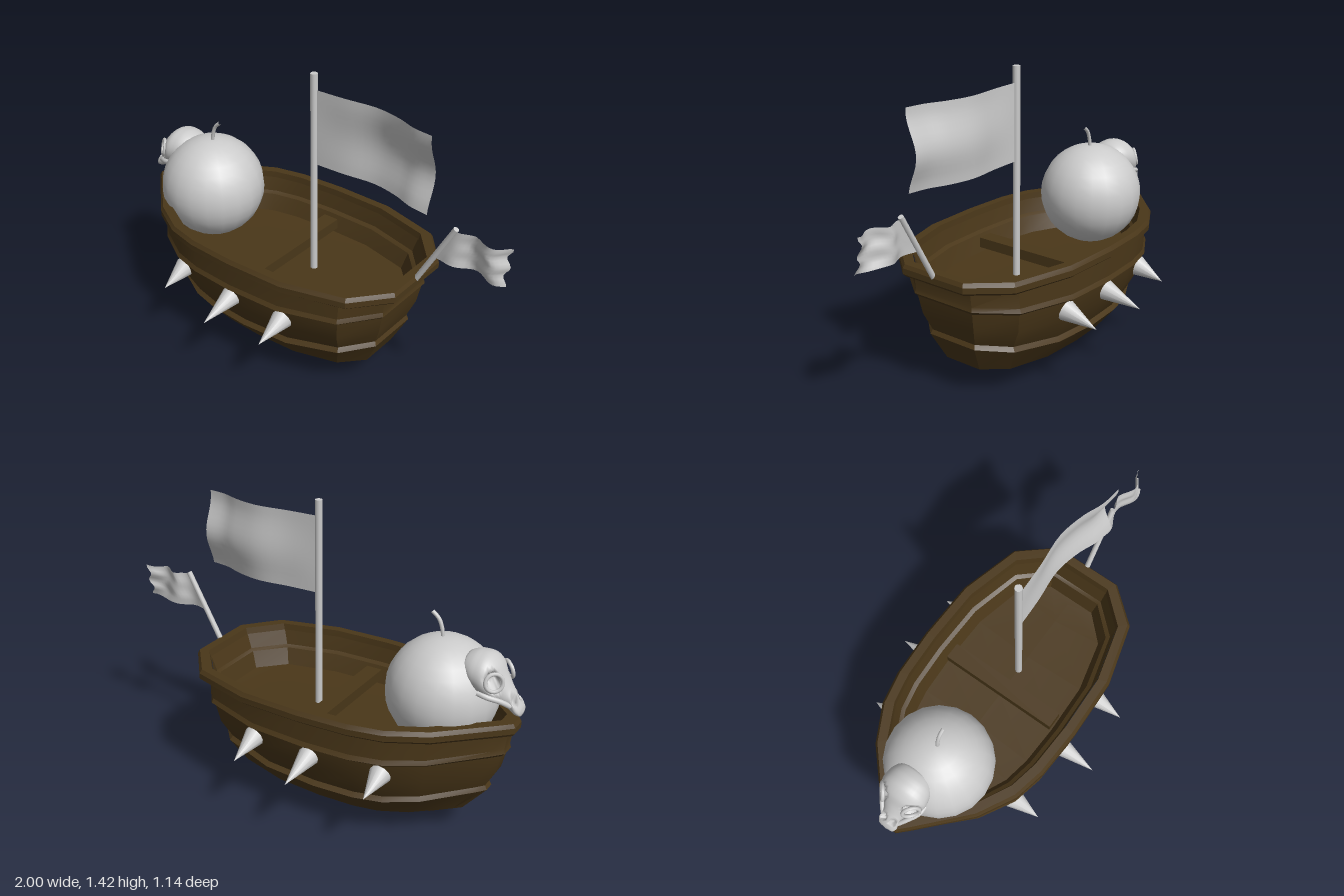
import * as THREE from 'three';
import { toCreasedNormals, mergeVertices } from 'three/addons/utils/BufferGeometryUtils.js';

const V = (x, y, z) => new THREE.Vector3(x, y, z);
const wood = new THREE.MeshStandardMaterial({ color: 0x4a3719 });
const grey = new THREE.MeshStandardMaterial({ color: 0xcccccc });
const cloth = new THREE.MeshStandardMaterial({ color: 0xcccccc, side: THREE.DoubleSide });

function add(parent, name, geometry, material) {
  const m = new THREE.Mesh(geometry, material);
  m.name = name;
  parent.add(m);
  return m;
}

// Skin a list of closed rings that all have the same point count
function loft(rings) {
  const n = rings[0].length, index = [];
  for (let i = 0; i < rings.length - 1; i++) {
    for (let j = 0; j < n; j++) {
      const k = (j + 1) % n, a = i * n + j, b = i * n + k;
      index.push(a, b, b + n, a, b + n, a + n);
    }
  }
  const g = new THREE.BufferGeometry().setFromPoints(rings.flat());
  g.setIndex(index);
  g.computeVertexNormals();
  return g;
}

// Cylinder or cone between two points
function rod(a, b, r0, r1, sides) {
  const d = b.clone().sub(a);
  const g = new THREE.CylinderGeometry(r1, r0, d.length(), sides);
  g.applyQuaternion(new THREE.Quaternion().setFromUnitVectors(V(0, 1, 0), d.clone().normalize()));
  const c = a.clone().add(b).multiplyScalar(0.5);
  return g.translate(c.x, c.y, c.z);
}

// Plan outline from bow to stern: length fraction, half-width fraction
const PLAN = [[0, 0.08], [0.03, 0.19], [0.17, 0.67], [0.28, 0.89], [0.38, 0.97],
  [0.53, 1], [0.72, 0.98], [0.91, 0.79], [1, 0.4]];

// Hull levels: y, rise at the ends, bow x, stern x, half width
const OUTER = [
  [0, 0.035, -0.6, 0.2, 0], [0.1, 0.03, -0.77, 0.39, 0.24],
  [0.205, 0.06, -0.88, 0.46, 0.325], [0.225, 0.06, -0.87, 0.45, 0.308],
  [0.34, 0.03, -0.915, 0.485, 0.37], [0.44, 0.02, -0.935, 0.503, 0.392],
  [0.455, 0.02, -0.95, 0.515, 0.413], [0.475, 0.02, -0.945, 0.51, 0.402],
  [0.575, 0, -0.955, 0.52, 0.402],
];
const RIM = [
  [0.572, 0, -0.93, 0.5, 0.38], [0.572, 0, -0.975, 0.565, 0.412],
  [0.585, 0, -0.985, 0.577, 0.428], [0.612, 0, -0.985, 0.577, 0.428],
  [0.63, 0, -0.975, 0.568, 0.415], [0.63, 0, -0.92, 0.525, 0.375],
  [0.58, 0, -0.915, 0.515, 0.37],
];
const INNER = [
  [0.6, 0, -0.915, 0.515, 0.37], [0.53, 0, -0.89, 0.49, 0.355],
  [0.52, 0, -0.875, 0.475, 0.335], [0.44, 0, -0.84, 0.45, 0.305],
  [0.435, 0, -0.8, 0.42, 0],
];

function hullPart(levels) {
  const rings = levels.map(([y, s, x0, x1, w]) => {
    const side = (sz) => PLAN.map(([u, f]) =>
      V(x0 + (x1 - x0) * u, y + s * (2 * u - 1) ** 2, sz * w * f));
    return [...side(1), ...side(-1).reverse()];
  });
  return toCreasedNormals(loft(rings), 0.4);
}

// Cloth sheet shaped by a rule (u along, v up)
function sheet(nu, nv, rule) {
  const g = new THREE.PlaneGeometry(1, 1, nu, nv), p = g.attributes.position;
  for (let i = 0; i < p.count; i++) {
    const q = rule(p.getX(i) + 0.5, p.getY(i) + 0.5);
    p.setXYZ(i, q.x, q.y, q.z);
  }
  g.computeVertexNormals();
  return g;
}

// Skull sections from nape to snout: x, y, half height, half width
const SKULL = [
  [-0.73, 0.85, 0.002, 0.002], [-0.745, 0.845, 0.05, 0.075], [-0.79, 0.827, 0.086, 0.105],
  [-0.84, 0.815, 0.096, 0.112], [-0.885, 0.792, 0.086, 0.095], [-0.915, 0.76, 0.066, 0.06],
  [-0.945, 0.728, 0.05, 0.044], [-0.975, 0.7, 0.037, 0.048], [-0.995, 0.682, 0.02, 0.035],
  [-1, 0.678, 0.001, 0.001],
];

function skullGeometry() {
  const centre = new THREE.CatmullRomCurve3(SKULL.map(([x, y]) => V(x, y, 0)));
  const size = new THREE.CatmullRomCurve3(SKULL.map(([, , h, w]) => V(h, w, 0)));
  const hollows = [1, -1].flatMap((s) => [
    { c: V(-0.892, 0.82, s * 0.082), r: 0.042, depth: V(0.03, -0.005, -s * 0.045) },
    { c: V(-0.968, 0.738, s * 0.026), r: 0.02, depth: V(0.01, -0.02, -s * 0.01) },
  ]);
  const rings = [];
  for (let i = 0; i <= 36; i++) {
    const c = centre.getPoint(i / 36), s = size.getPoint(i / 36), ring = [];
    for (let j = 0; j < 36; j++) {
      const a = -j / 36 * Math.PI * 2;
      const p = V(c.x, c.y + Math.cos(a) * s.x, Math.sin(a) * s.y);
      for (const h of hollows) {
        const k = 1 - THREE.MathUtils.smoothstep(p.distanceTo(h.c), h.r * 0.6, h.r);
        p.addScaledVector(h.depth, k);
      }
      ring.push(p);
    }
    rings.push(ring);
  }
  return loft(rings);
}

export function createModel() {
  const model = new THREE.Group();
  model.name = 'boat';

  // Hull
  add(model, 'hull', hullPart(OUTER), wood);
  add(model, 'rim', hullPart(RIM), wood);
  add(model, 'inside', hullPart(INNER), wood);
  add(model, 'bench', new THREE.BoxGeometry(0.08, 0.05, 0.6), wood).position.set(-0.13, 0.495, 0);

  // Spikes along both sides
  for (const [x, base, tip] of [[-0.52, 0.34, 0.485], [-0.185, 0.37, 0.568], [0.11, 0.365, 0.53]]) {
    for (const s of [1, -1]) {
      add(model, 'spike', rod(V(x, 0.398, s * base), V(x, 0.35, s * tip), 0.051, 0, 12), grey);
    }
  }

  // Mast and large flag
  add(model, 'mast', rod(V(0, 0.43, 0), V(0, 1.425, 0), 0.017, 0.017, 10), grey);
  const wave = new THREE.CatmullRomCurve3([V(0, 0, 0), V(0.16, 0, -0.01), V(0.32, 0, -0.027),
    V(0.45, 0, -0.005), V(0.54, 0, 0.025), V(0.635, 0, 0.035)]);
  add(model, 'flag', sheet(20, 12, (u, v) => {
    const p = wave.getPoint(u);
    return V(p.x, 0.99 + 0.36 * v, p.z + u * 0.025 * Math.cos(v * Math.PI * 2 + 0.3));
  }), cloth);

  // Slanted stern pole and small frayed flag
  add(model, 'sternPole', rod(V(0.56, 0.6, 0), V(0.745, 0.935, 0), 0.013, 0.013, 8), grey);
  add(model, 'sternFlag', sheet(18, 12, (u, v) => {
    const left = 0.655 + 0.085 * v, right = 0.988 + 0.012 * Math.cos(v * 13);
    const y = 0.758 + 0.165 * v + 0.006 * Math.sin(u * 14) * u;
    return V(left + (right - left) * u, y, 0.022 * Math.sin(u * 9 + v * 2) * Math.min(1, u * 3));
  }), cloth);

  // Round bomb with curved fuse
  add(model, 'bomb', new THREE.SphereGeometry(0.252, 20, 16), grey).position.set(-0.625, 0.675, 0.013);
  const fuse = new THREE.CatmullRomCurve3([V(-0.613, 0.91, 0.015), V(-0.605, 0.96, 0.015),
    V(-0.588, 1.0, 0.015), V(-0.557, 1.027, 0.015)]);
  add(model, 'fuse', new THREE.TubeGeometry(fuse, 10, 0.009, 8), grey);

  // Skull figurehead with eye rims and cheekbones
  const skull = new THREE.Group();
  skull.name = 'skull';
  model.add(skull);
  add(skull, 'cranium', mergeVertices(skullGeometry()), grey);
  for (const s of [1, -1]) {
    const rim = add(skull, 'eyeRim', new THREE.TorusGeometry(0.038, 0.009, 8, 18), grey);
    rim.position.set(-0.892, 0.818, s * 0.078);
    rim.quaternion.setFromUnitVectors(V(0, 0, 1), V(-0.62, 0.2, s * 0.75).normalize());
    const cheek = new THREE.CatmullRomCurve3([V(-0.955, 0.71, s * 0.04),
      V(-0.92, 0.735, s * 0.068), V(-0.87, 0.755, s * 0.098), V(-0.83, 0.765, s * 0.1)]);
    add(skull, 'cheekbone', new THREE.TubeGeometry(cheek, 10, 0.012, 8), grey);
  }
  return model;
}
